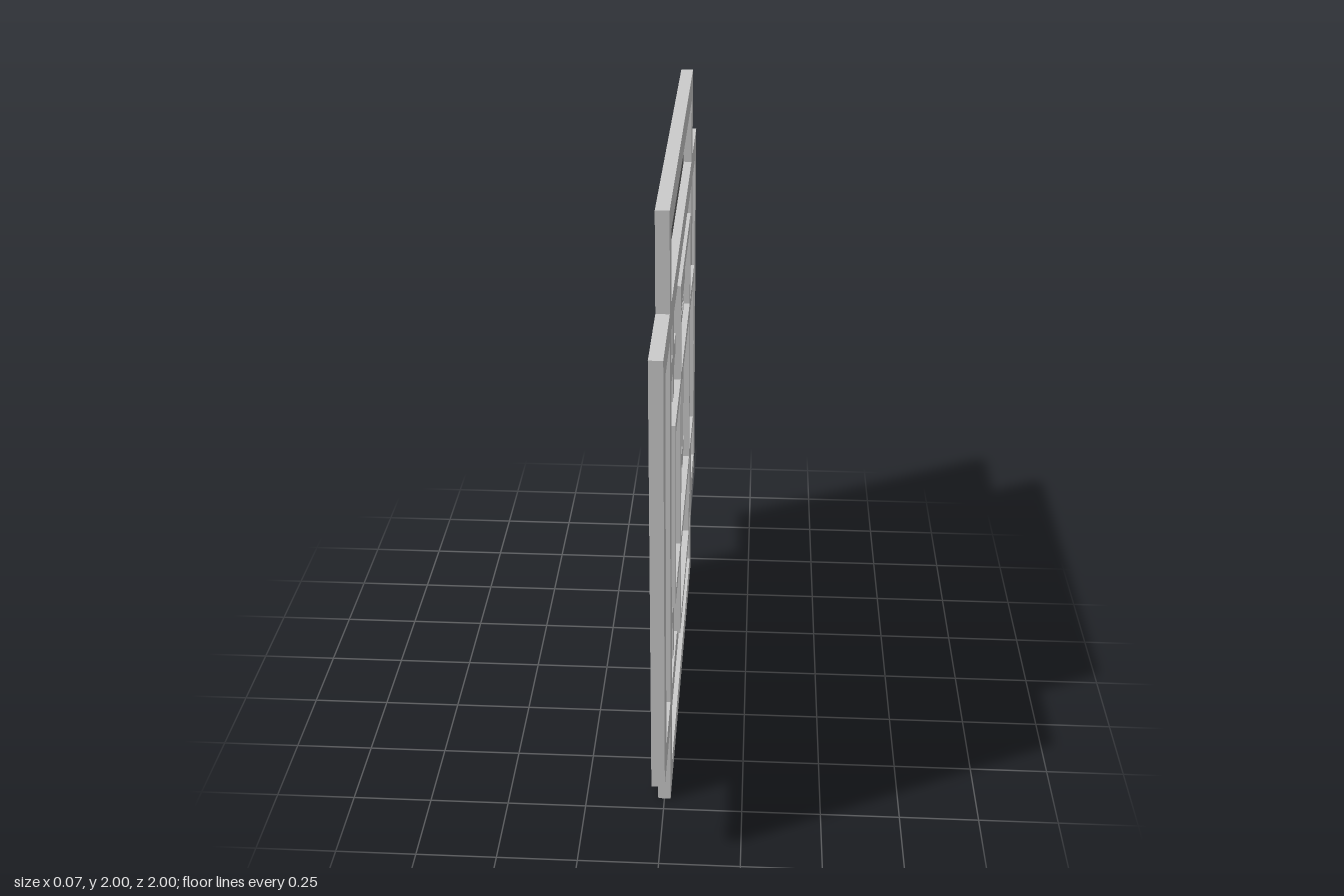
import * as THREE from 'three';

const grey = new THREE.MeshStandardMaterial({ color: 0xcccccc });
const dark = new THREE.MeshStandardMaterial({ color: 0x636363 });

// Closed polygon lying in the z-y plane, drawn around the panel centre
function trace(path, points) {
  points.forEach(([a, b], i) => (i ? path.lineTo(a, b) : path.moveTo(a, b)));
  path.closePath();
  return path;
}

const rect = (w, h) => [[-w, -h], [w, -h], [w, h], [-w, h]];

// Outline of two crossing rectangles, with half sizes s x l and l x s
const cross = (s, l) => [
  [-s, -l], [s, -l], [s, -s], [l, -s], [l, s], [s, s],
  [s, l], [-s, l], [-s, s], [-l, s], [-l, -s], [-s, -s],
];

// Slab between x0 and x1 with an optional opening
function slab(name, outer, inner, x0, x1, material = grey) {
  const shape = trace(new THREE.Shape(), outer);
  if (inner) shape.holes.push(trace(new THREE.Path(), inner));
  const geometry = new THREE.ExtrudeGeometry(shape, { depth: x1 - x0, bevelEnabled: false });
  geometry.rotateY(Math.PI / 2).translate(x0, 1, 0);
  const mesh = new THREE.Mesh(geometry, material);
  mesh.name = name;
  return mesh;
}

// A tall frame and the same frame turned on its side
function framePair(name, s, l, bar, x0, x1) {
  const group = new THREE.Group();
  group.name = name;
  group.add(
    slab(name + 'Tall', rect(s, l), rect(s - bar, l - bar), x0, x1),
    slab(name + 'Wide', rect(l, s), rect(l - bar, s - bar), x0, x1),
  );
  return group;
}

export function createModel() {
  const model = new THREE.Group();
  model.name = 'latticePanel';

  // Cross-shaped backing: dark on the face, plain on the back
  model.add(
    slab('darkPane', cross(0.69, 0.99), null, -0.01, -0.007, dark),
    slab('backBoard', cross(0.69, 0.99), null, -0.013, -0.01),
    slab('innerBackBoard', cross(0.3, 0.61), null, -0.03, -0.012),
  );

  // Outer frames, and the rim standing proud around the back
  model.add(
    framePair('outerFrame', 0.7, 1, 0.085, -0.009, 0.02),
    slab('backRim', cross(0.7, 1), cross(0.64, 0.94), -0.02, -0.008),
  );

  // Stepped lattice of crossing frames
  model.add(
    framePair('latticeFrame', 0.47, 0.69, 0.06, -0.008, 0.015),
    slab('latticeRing', rect(0.47, 0.47), rect(0.372, 0.372), -0.008, 0.012),
    framePair('slimFrame', 0.35, 0.44, 0.04, -0.008, 0.01),
    framePair('centreFrame', 0.235, 0.34, 0.045, -0.008, 0.012),
  );

  // Raised crossing frames, standing out on both sides
  model.add(framePair('raisedFrame', 0.315, 0.623, 0.042, -0.038, 0.031));

  return model;
}
